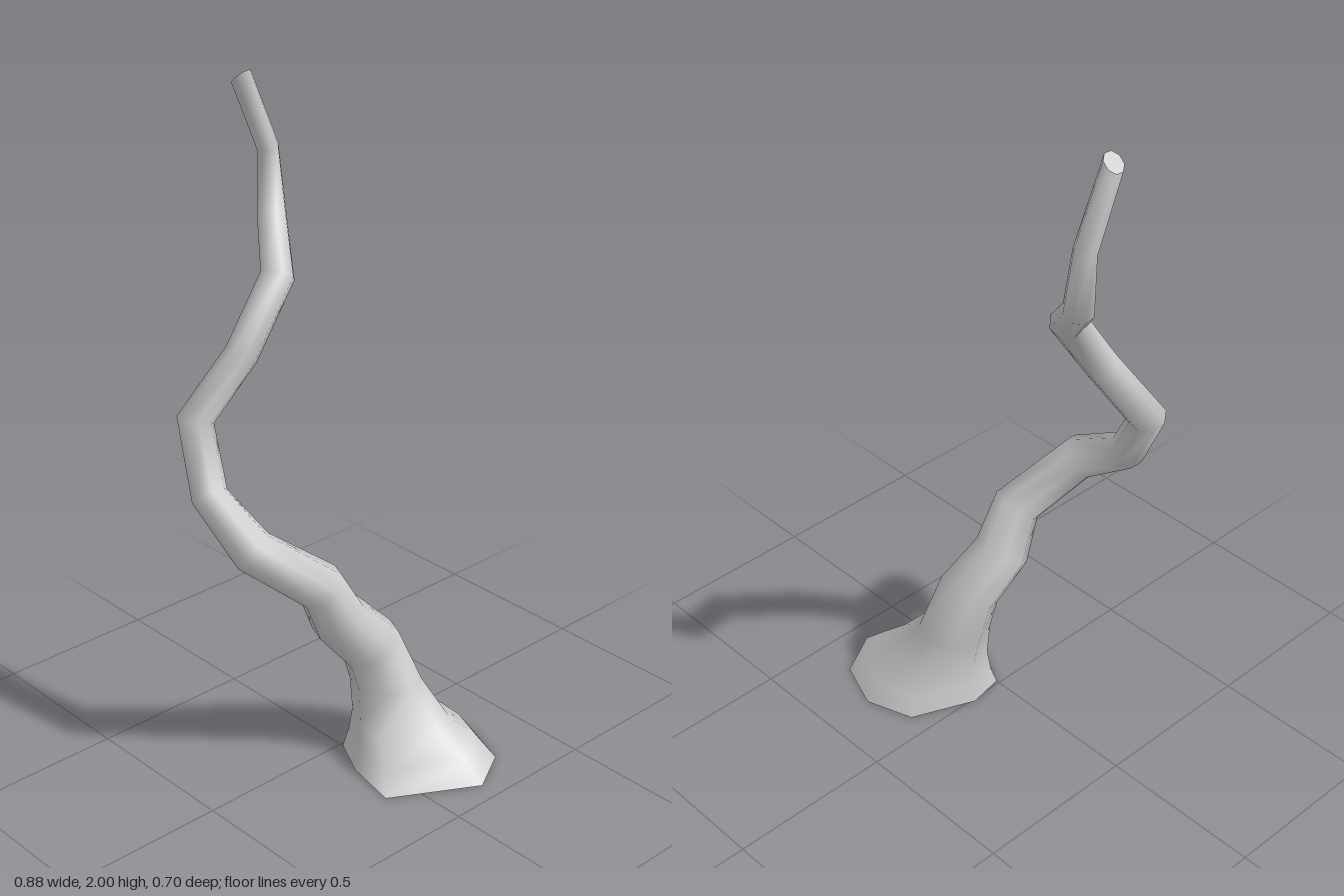
import * as THREE from 'three';

const SIDES = 8;

// Irregular footprint of the flared root: [x, z]
const FOOT = [[0.44, -0.16], [0.295, 0.093], [0.13, 0.06], [0.01, 0.0],
  [-0.01, -0.11], [0.07, -0.30], [0.215, -0.35], [0.365, -0.295]];

// Flare rings that keep the footprint shape: [y, xMin, xMax, zMin, zMax]
const FLARE = [[0, -0.01, 0.44, -0.35, 0.093], [0.06, 0.0, 0.375, -0.315, 0.06],
  [0.13, 0.01, 0.29, -0.245, 0.03]];

// Winding stem: [x, y, z, radius]
const STEM = [[0.09, 0.235, -0.1, 0.107], [0.07, 0.365, -0.055, 0.094], [0.035, 0.48, 0.045, 0.085],
  [0.042, 0.61, 0.115, 0.074], [-0.05, 0.75, 0.285, 0.068], [-0.225, 0.86, 0.295, 0.055],
  [-0.33, 1.05, 0.255, 0.055], [-0.258, 1.24, 0.14, 0.05], [-0.257, 1.44, 0.003, 0.051],
  [-0.38, 1.57, -0.085, 0.044], [-0.411, 1.76, -0.1, 0.033], [-0.415, 1.976, -0.012, 0.033]];

function buildRings() {
  const rings = FLARE.map(([y, x0, x1, z0, z1]) => FOOT.map(([x, z]) => new THREE.Vector3(
    THREE.MathUtils.mapLinear(x, -0.01, 0.44, x0, x1), y,
    THREE.MathUtils.mapLinear(z, -0.35, 0.093, z0, z1))));

  // Carry one frame along the stem so the rings do not twist
  const pts = STEM.map(([x, y, z]) => new THREE.Vector3(x, y, z));
  const u = new THREE.Vector3(1, 0, 0), v = new THREE.Vector3(0, 0, 1);
  let last = new THREE.Vector3(0, 1, 0);
  pts.forEach((p, i) => {
    const t = new THREE.Vector3();
    if (i === 0) t.set(0, 1, 0);
    else if (i === pts.length - 1) t.set(-0.65, 0.72, 0.1).normalize(); // slanted cut
    else {
      t.subVectors(p, pts[i - 1]).normalize();
      t.add(pts[i + 1].clone().sub(p).normalize()).normalize();
    }
    const turn = new THREE.Quaternion().setFromUnitVectors(last, t);
    u.applyQuaternion(turn);
    v.applyQuaternion(turn);
    last = t;
    const ring = [];
    for (let k = 0; k < SIDES; k++) {
      const a = k / SIDES * Math.PI * 2;
      ring.push(p.clone().addScaledVector(u, Math.cos(a) * STEM[i][3])
        .addScaledVector(v, Math.sin(a) * STEM[i][3]));
    }
    rings.push(ring);
  });
  return rings;
}

function makeGeometry(points, index) {
  const g = new THREE.BufferGeometry().setFromPoints(points);
  g.setIndex(index);
  g.computeVertexNormals();
  return g;
}

// Fan that closes a ring
function capGeometry(ring, up) {
  const centre = new THREE.Vector3();
  ring.forEach(p => centre.addScaledVector(p, 1 / SIDES));
  const index = [];
  for (let k = 0; k < SIDES; k++) {
    const a = k, b = (k + 1) % SIDES;
    index.push(SIDES, up ? b : a, up ? a : b);
  }
  return makeGeometry([...ring, centre], index);
}

export function createModel() {
  const group = new THREE.Group();
  group.name = 'windingStem';
  const material = new THREE.MeshStandardMaterial({ color: 0xcccccc });
  const add = (name, geometry) => {
    const mesh = new THREE.Mesh(geometry, material);
    mesh.name = name;
    group.add(mesh);
  };

  // Stem skin
  const rings = buildRings();
  const index = [];
  for (let r = 0; r < rings.length - 1; r++) {
    for (let k = 0; k < SIDES; k++) {
      const n = (k + 1) % SIDES;
      const a = r * SIDES + k, b = r * SIDES + n, c = a + SIDES, d = b + SIDES;
      index.push(a, c, b, b, c, d);
    }
  }
  add('stem', makeGeometry(rings.flat(), index));

  // End caps
  add('rootCap', capGeometry(rings[0], false));
  add('tipCap', capGeometry(rings[rings.length - 1], true));
  return group;
}
